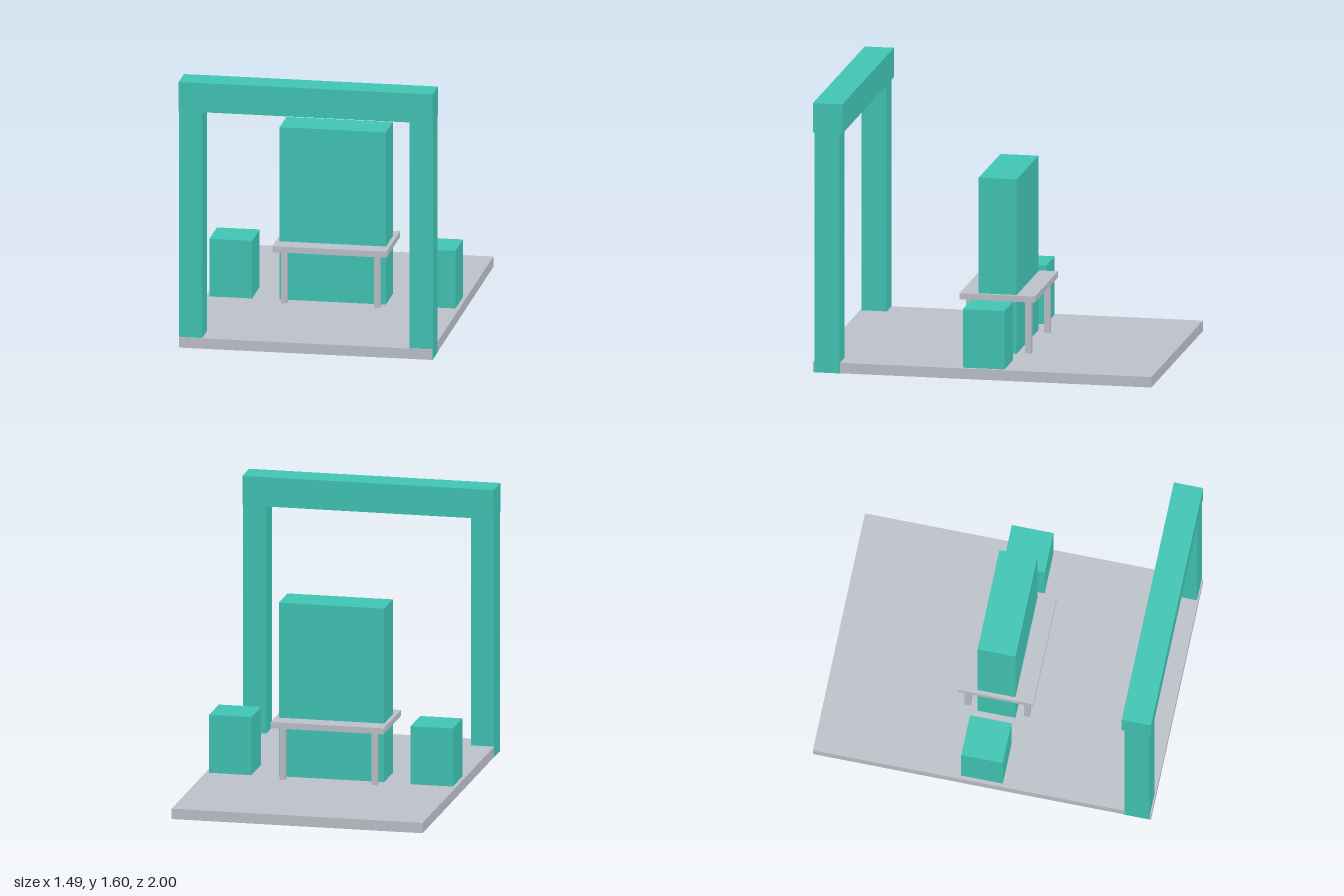
import * as THREE from 'three';

export function createModel() {
  const group = new THREE.Group();
  const teal = new THREE.MeshStandardMaterial({ color: 0x40c4b4 });
  teal.name = 'teal';
  const grey = new THREE.MeshStandardMaterial({ color: 0xbcc0c8 });
  grey.name = 'light grey';

  // Box given by its lower and upper limits on each axis
  function box(name, material, [x0, x1], [y0, y1], [z0, z1], parent = group) {
    const mesh = new THREE.Mesh(new THREE.BoxGeometry(x1 - x0, y1 - y0, z1 - z0), material);
    mesh.position.set((x0 + x1) / 2, (y0 + y1) / 2, (z0 + z1) / 2);
    mesh.name = name;
    parent.add(mesh);
    return mesh;
  }
  // Mirrors an x range to the other side
  const sided = (s, a, b) => (s > 0 ? [a, b] : [-b, -a]);

  // Floor slab
  box('floor', grey, [-0.746, 0.746], [0.001, 0.063], [-1, 1]);

  // Gateway at the front edge: two posts and a beam
  const gate = new THREE.Group();
  gate.name = 'gateway';
  group.add(gate);
  box('gateBeam', teal, [-0.747, 0.747], [1.425, 1.6], [0.827, 1], gate);
  for (const s of [1, -1]) {
    box(s > 0 ? 'leftPost' : 'rightPost', teal, sided(s, 0.61, 0.747), [0, 1.425], [0.842, 0.992], gate);
  }

  // Tall central block standing through the table
  box('centralBlock', teal, [-0.313, 0.313], [0, 1.1], [-0.115, 0.109]);

  // Table with four square legs
  const table = new THREE.Group();
  table.name = 'table';
  group.add(table);
  box('tableTop', grey, [-0.336, 0.336], [0.377, 0.413], [-0.227, 0.219], table);
  for (const s of [1, -1]) {
    for (const z of [0.154, -0.196]) {
      box('tableLeg', grey, sided(s, 0.256, 0.291), [0.06, 0.38], [z, z + 0.035], table);
    }
  }

  // Block seats on either side
  for (const s of [1, -1]) {
    box(s > 0 ? 'leftSeat' : 'rightSeat', teal, sided(s, 0.473, 0.724), [0.06, 0.41], [-0.127, 0.119]);
  }

  return group;
}
